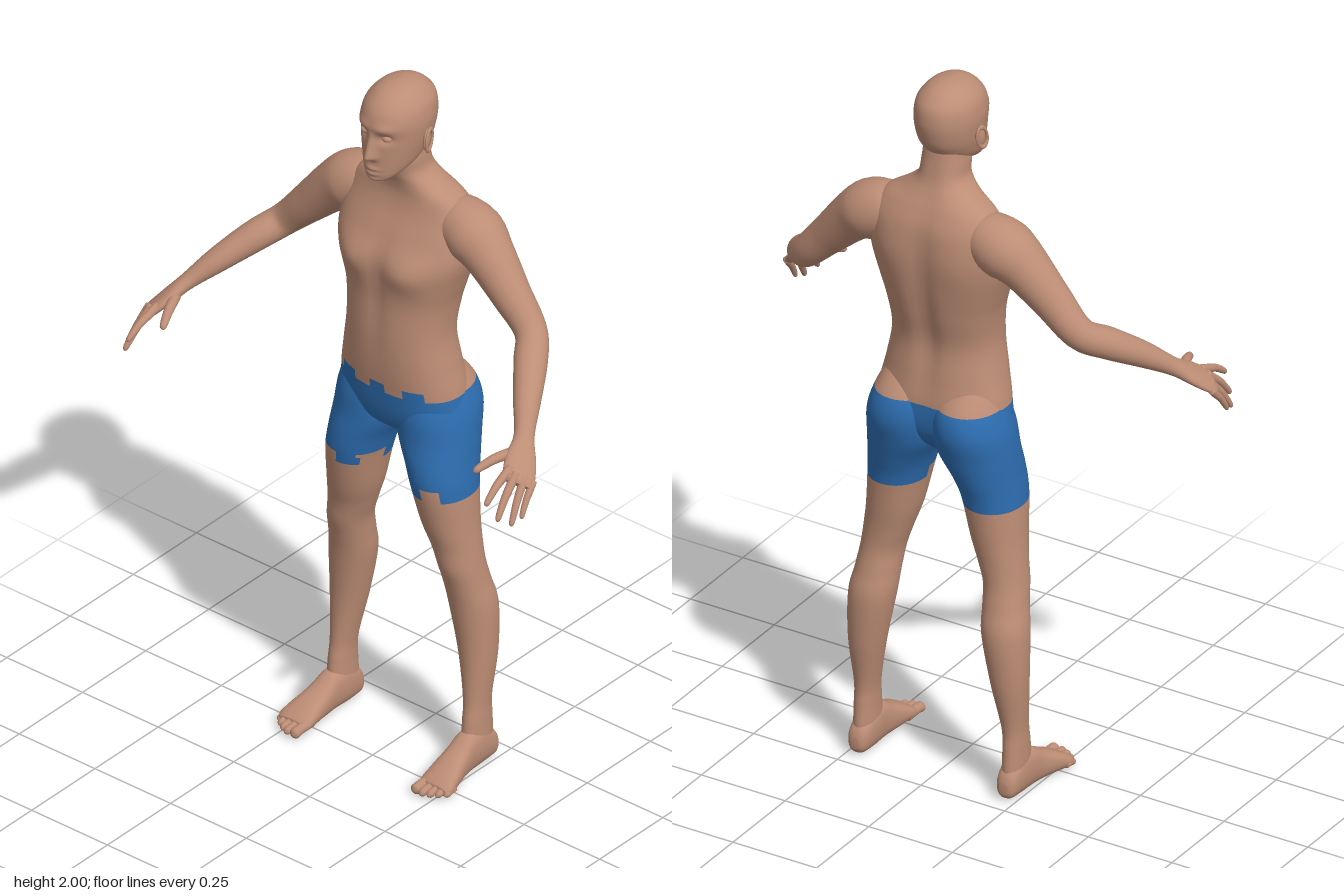
import * as THREE from 'three';

const skin = new THREE.MeshStandardMaterial({ color: 0xbd8d75 });
skin.name = 'skin';
const shorts = new THREE.MeshStandardMaterial({ color: 0x2d6db0 });
shorts.name = 'shortsBlue';

const gauss = (...d) => Math.exp(-d.reduce((s, v) => s + v * v, 0));
const power = (v, n) => Math.sign(v) * Math.abs(v) ** (2 / n);

// Smooth interpolation through rows of numbers, u from 0 to 1
function sample(keys, u) {
  const last = keys.length - 1;
  const i = Math.min(Math.floor(u * last), last - 1), t = u * last - i;
  const k = (j) => keys[Math.max(0, Math.min(last, j))];
  return keys[0].map((_, c) => {
    const a = k(i - 1)[c], b = k(i)[c], d = k(i + 1)[c], e = k(i + 2)[c];
    return b + 0.5 * t * (d - a + t * (2 * a - 5 * b + 4 * d - e + t * (3 * (b - d) + e - a)));
  });
}

// Closed skin over rings of points; isShorts(centre) sorts faces into colour groups
function skinRings(rows, cols, point, isShorts = () => false) {
  const pts = [];
  for (let i = 0; i <= rows; i++) {
    for (let j = 0; j < cols; j++) pts.push(point(i / rows, (j / cols) * Math.PI * 2));
  }
  const ringCentre = (start) => {
    const c = new THREE.Vector3();
    for (let j = 0; j < cols; j++) c.addScaledVector(pts[start + j], 1 / cols);
    return c;
  };
  const end = rows * cols, pole = pts.length;
  pts.push(ringCentre(0), ringCentre(end));
  const lists = [[], []];
  for (let j = 0; j < cols; j++) {
    const n = (j + 1) % cols;
    for (let i = 0; i < rows; i++) {
      const a = i * cols + j, b = a + cols, c = i * cols + n, d = c + cols;
      const mid = pts[a].clone().add(pts[d]).multiplyScalar(0.5);
      lists[isShorts(mid) ? 1 : 0].push(a, b, c, c, b, d);
    }
    lists[isShorts(pts[pole]) ? 1 : 0].push(pole, j, n);
    lists[isShorts(pts[pole + 1]) ? 1 : 0].push(pole + 1, end + n, end + j);
  }
  const geo = new THREE.BufferGeometry().setFromPoints(pts);
  geo.setIndex([...lists[0], ...lists[1]]);
  geo.addGroup(0, lists[0].length, 0);
  geo.addGroup(lists[0].length, lists[1].length, 1);
  geo.computeVertexNormals();
  return geo;
}

// Level rings: keys are [y, centre x, half width, front z, back z]
function loft(keys, rows, cols, n, shape, isShorts) {
  return skinRings(rows, cols, (u, a) => {
    const [y, cx, hw, f, b] = sample(keys, u);
    const p = new THREE.Vector3(cx + hw * power(Math.cos(a), n), y, (f + b) / 2 + ((f - b) / 2) * power(Math.sin(a), n));
    if (shape) shape(p);
    return p;
  }, isShorts);
}

// Rings across a path: keys are [x, y, z, half width, half thickness]
function limb(keys, wide, rows = 14, cols = 12) {
  const at = (u) => new THREE.Vector3(...sample(keys, Math.max(0, Math.min(1, u))));
  return skinRings(rows, cols, (u, a) => {
    const k = sample(keys, u);
    const t = at(u + 0.01).sub(at(u - 0.01)).normalize();
    const w = wide.clone().addScaledVector(t, -wide.dot(t)).normalize();
    const n = w.clone().cross(t);
    return at(u).addScaledVector(w, k[3] * Math.cos(a)).addScaledVector(n, k[4] * Math.sin(a));
  });
}

function mirrored(geo) {
  const g = geo.clone().scale(-1, 1, 1), ix = g.index.array;
  for (let i = 0; i < ix.length; i += 3) [ix[i], ix[i + 1]] = [ix[i + 1], ix[i]];
  g.computeVertexNormals();
  return g;
}

// Uneven waistband and hems of the shorts
const waist = (p) => (p.z > -0.12 ? 1.11 + 0.014 * Math.sign(Math.cos(55 * Math.abs(p.x) + 0.4)) : 1.1);
const hem = (p) => 0.835 + (p.z > -0.12 ? 0.016 * Math.sign(Math.sin(60 * Math.abs(p.x) - 2)) : -0.015);
const inShorts = (p) => p.y < waist(p) && p.y > hem(p);

// Chest, shoulder blades and spine
function shapeTorso(p) {
  const x = Math.abs(p.x);
  if (p.z > -0.12) {
    p.z += 0.02 * gauss((x - 0.088) / 0.06, (p.y - 1.475) / 0.05);
    p.z -= 0.007 * gauss(x / 0.02, (p.y - 1.4) / 0.16);
  } else {
    p.z += 0.015 * gauss(x / 0.03, (p.y - 1.37) / 0.25);
    p.z -= 0.009 * gauss((x - 0.1) / 0.06, (p.y - 1.54) / 0.08);
  }
}

// Nose, eye sockets, brows, lips and chin
function shapeFace(p) {
  if (p.z < -0.08) return;
  const x = Math.abs(p.x), y = p.y, t = (1.895 - y) / 0.072;
  const rise = t < 0 ? 0 : t < 1 ? t : 1 - THREE.MathUtils.smoothstep(t, 1, 1.25);
  p.z += 0.026 * rise * gauss(x / (0.009 + 0.006 * Math.max(0, Math.min(1, t))));
  p.z -= 0.012 * gauss((x - 0.035) / 0.018, (y - 1.878) / 0.014);
  p.z += 0.005 * gauss((x - 0.035) / 0.025, (y - 1.908) / 0.012);
  p.z += 0.006 * gauss(x / 0.022, (y - 1.785) / 0.006) + 0.006 * gauss(x / 0.02, (y - 1.77) / 0.006);
  p.z += 0.004 * gauss(x / 0.02, (y - 1.752) / 0.01);
}

export function createModel() {
  const model = new THREE.Group();
  model.name = 'man';
  const add = (name, geo, mat = skin) => {
    const mesh = new THREE.Mesh(geo, mat);
    mesh.name = name;
    model.add(mesh);
  };
  const pair = (name, geo, mat = skin) => {
    add(name + 'Left', geo, mat);
    add(name + 'Right', mirrored(geo), mat);
  };

  // Trunk with neck
  add('torso', loft([
    [0.95, 0, 0.03, -0.09, -0.18], [0.985, 0, 0.12, -0.045, -0.215], [1.03, 0, 0.182, -0.028, -0.235],
    [1.1, 0, 0.181, -0.018, -0.24], [1.18, 0, 0.165, -0.01, -0.23], [1.27, 0, 0.151, -0.008, -0.222],
    [1.36, 0, 0.158, -0.012, -0.24], [1.43, 0, 0.176, -0.012, -0.252], [1.5, 0, 0.196, -0.018, -0.258],
    [1.56, 0, 0.2, -0.042, -0.258], [1.62, 0, 0.19, -0.07, -0.252], [1.665, 0, 0.16, -0.082, -0.235],
    [1.7, 0, 0.105, -0.08, -0.217], [1.735, 0, 0.067, -0.07, -0.202], [1.78, 0, 0.06, -0.06, -0.192],
    [1.83, 0, 0.055, -0.065, -0.185],
  ], 90, 64, 2.3, shapeTorso, (p) => p.y < waist(p)), [skin, shorts]);

  // Head
  add('head', loft([
    [1.744, 0, 0.02, -0.008, -0.04], [1.75, 0, 0.034, 0.002, -0.065], [1.765, 0, 0.05, 0.005, -0.1],
    [1.79, 0, 0.066, 0.006, -0.16], [1.83, 0, 0.078, 0.006, -0.198], [1.87, 0, 0.085, 0.006, -0.213],
    [1.91, 0, 0.087, 0.008, -0.218], [1.95, 0, 0.079, -0.006, -0.21], [1.98, 0, 0.056, -0.035, -0.182],
    [1.994, 0, 0.032, -0.065, -0.152], [2, 0, 0.006, -0.1, -0.115],
  ], 90, 96, 2.05, shapeFace));
  pair('eye', new THREE.SphereGeometry(0.012, 16, 10).scale(1.15, 0.8, 1).translate(0.035, 1.878, -0.015));
  const placeEar = (g) => g.rotateX(-0.2).rotateY(0.25).translate(0.089, 1.852, -0.108);
  pair('ear', placeEar(new THREE.SphereGeometry(1, 16, 12).scale(0.008, 0.03, 0.016)));
  pair('earRim', placeEar(new THREE.TorusGeometry(0.017, 0.004, 8, 24).rotateY(Math.PI / 2).scale(1, 1.75, 1).translate(0.007, 0, 0)));

  // Legs, with the tops rounding into the buttocks
  pair('leg', loft([
    [0.03, 0.222, 0.025, -0.1, -0.2], [0.08, 0.222, 0.029, -0.095, -0.2], [0.14, 0.222, 0.029, -0.1, -0.196],
    [0.2, 0.22, 0.031, -0.108, -0.195], [0.33, 0.212, 0.048, -0.11, -0.218], [0.465, 0.199, 0.061, -0.098, -0.226],
    [0.54, 0.19, 0.058, -0.084, -0.21], [0.6, 0.183, 0.057, -0.068, -0.198], [0.66, 0.17, 0.063, -0.06, -0.197],
    [0.73, 0.155, 0.071, -0.042, -0.203], [0.836, 0.14, 0.08, -0.022, -0.215], [0.9, 0.126, 0.087, -0.02, -0.232],
    [0.97, 0.105, 0.102, -0.028, -0.252], [1.04, 0.098, 0.1, -0.033, -0.268], [1.1, 0.092, 0.087, -0.05, -0.255],
    [1.16, 0.09, 0.062, -0.08, -0.21],
  ], 110, 40, 2.1, null, inShorts), [skin, shorts]);

  // Feet: rows are [z, centre x, half width, bottom y, top y]
  const footKeys = [
    [-0.212, 0.222, 0.012, 0.02, 0.05], [-0.198, 0.222, 0.027, 0.004, 0.08], [-0.15, 0.222, 0.033, 0, 0.115],
    [-0.1, 0.224, 0.034, 0, 0.112], [-0.06, 0.226, 0.038, 0, 0.088], [-0.01, 0.231, 0.046, 0, 0.062],
    [0.025, 0.234, 0.05, 0, 0.042], [0.042, 0.234, 0.042, 0.005, 0.03],
  ];
  pair('foot', skinRings(28, 24, (u, a) => {
    const [z, cx, hw, lo, hi] = sample(footKeys, u);
    return new THREE.Vector3(cx + hw * power(Math.cos(a), 2.4), (lo + hi) / 2 - ((hi - lo) / 2) * power(Math.sin(a), 2.4), z);
  }));
  const across = new THREE.Vector3(1, 0, 0);
  [[0.2, 0.078, 0.014], [0.223, 0.08, 0.01], [0.242, 0.072, 0.0095], [0.26, 0.06, 0.009], [0.275, 0.045, 0.009]]
    .forEach(([x, tip, r], i) => pair('toe' + (i + 1), limb([
      [x, 0.018, 0.005, r, r], [x, 0.018, tip - 0.025, r, r], [x, 0.014, tip - 0.007, r, r * 0.95],
      [x, 0.013, tip, r * 0.2, r * 0.2],
    ], across)));

  // Arms, running through the wrist into the palm
  const wide = new THREE.Vector3(0.6, -0.3, -0.5).normalize();
  pair('arm', limb([
    [0.12, 1.605, -0.168, 0.06, 0.06], [0.155, 1.6, -0.167, 0.074, 0.074], [0.205, 1.58, -0.164, 0.08, 0.078],
    [0.255, 1.543, -0.158, 0.067, 0.066], [0.33, 1.466, -0.15, 0.053, 0.053], [0.405, 1.388, -0.14, 0.043, 0.043],
    [0.455, 1.345, -0.08, 0.044, 0.041], [0.51, 1.29, 0, 0.036, 0.033], [0.556, 1.238, 0.066, 0.027, 0.022],
    [0.584, 1.202, 0.113, 0.041, 0.018], [0.609, 1.17, 0.152, 0.043, 0.014], [0.615, 1.162, 0.164, 0.034, 0.008],
  ], wide, 80, 28));

  // Fingers: base, tip, radius
  const digits = {
    thumb: [[0.562, 1.212, 0.105], [0.514, 1.186, 0.217], 0.013],
    indexFinger: [[0.584, 1.188, 0.168], [0.592, 1.138, 0.263], 0.0105],
    middleFinger: [[0.603, 1.175, 0.165], [0.616, 1.092, 0.246], 0.0105],
    ringFinger: [[0.621, 1.162, 0.15], [0.638, 1.072, 0.217], 0.01],
    littleFinger: [[0.636, 1.152, 0.132], [0.645, 1.082, 0.185], 0.009],
  };
  for (const [name, [base, tip, r]] of Object.entries(digits)) {
    const key = (t, s, lift = 0) => [...base.map((v, i) => v + (tip[i] - v) * t + (i === 1 ? lift : 0)), r * s, r * s];
    pair(name, limb([key(-0.15, 1.1), key(0.2, 1.1, 0.004), key(0.5, 1, 0.008), key(0.8, 0.85, 0.004), key(0.95, 0.65), key(1, 0.15)], wide));
  }
  return model;
}
